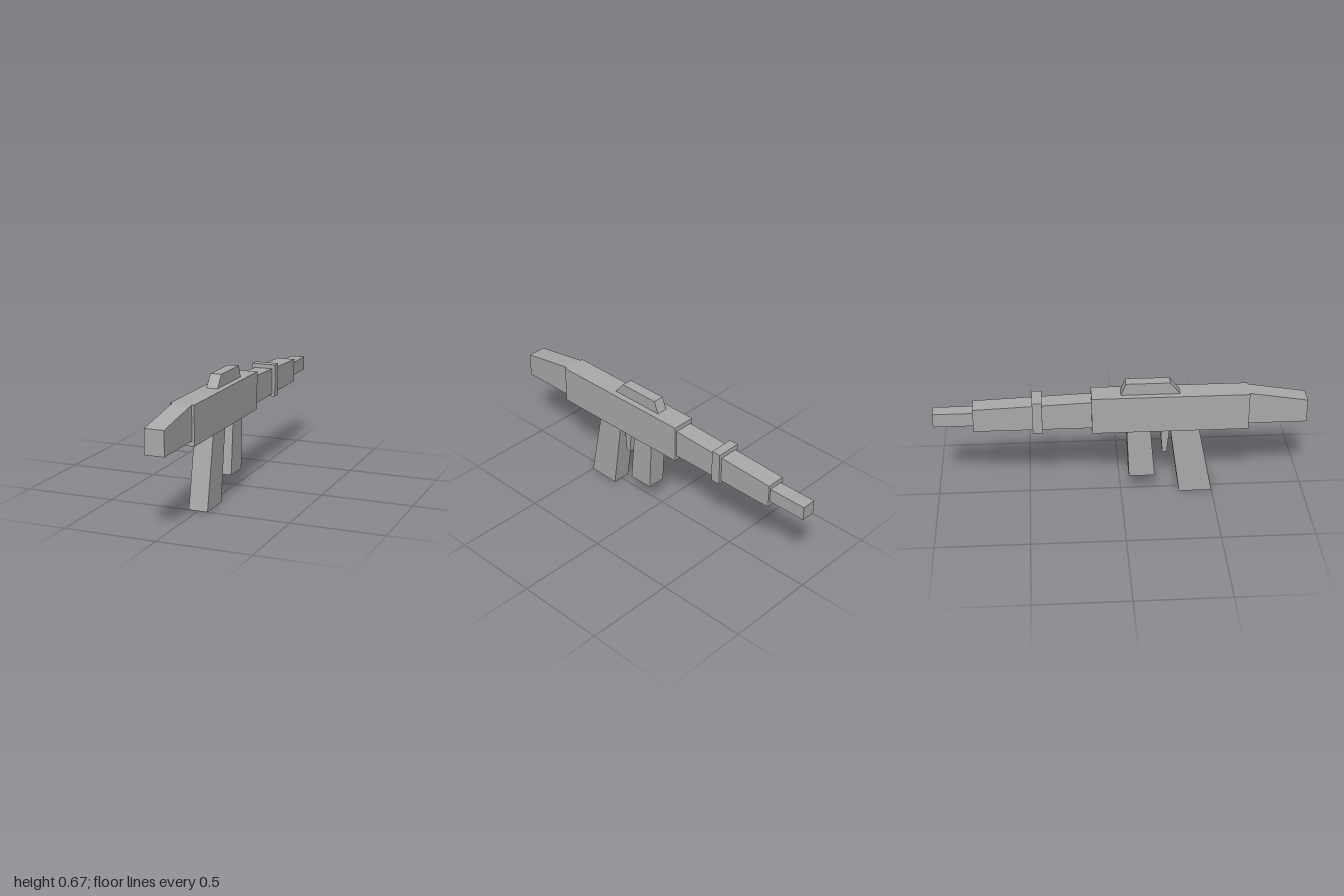
import * as THREE from 'three';

export function createModel() {
  const model = new THREE.Group();
  const grey = new THREE.MeshStandardMaterial({ color: 0xaaaaaa });
  grey.name = 'plain grey';

  // Side profile given as [z, y] points, extruded evenly across x
  function slab(name, width, points) {
    const shape = new THREE.Shape(points.map(([z, y]) => new THREE.Vector2(z, y)));
    const geometry = new THREE.ExtrudeGeometry(shape, { depth: width, bevelEnabled: false });
    geometry.translate(0, 0, -width / 2);
    geometry.rotateY(-Math.PI / 2);
    const mesh = new THREE.Mesh(geometry, grey);
    mesh.name = name;
    model.add(mesh);
  }

  // Plain block between two z and two y limits
  function block(name, width, z0, z1, y0, y1) {
    const mesh = new THREE.Mesh(new THREE.BoxGeometry(width, y1 - y0, z1 - z0), grey);
    mesh.position.set(0, (y0 + y1) / 2, (z0 + z1) / 2);
    mesh.name = name;
    model.add(mesh);
  }

  // Main body, from stock to muzzle
  slab('stock', 0.105, [[0.685, 0.424], [1, 0.424], [1, 0.555], [0.685, 0.607]]);
  block('receiver', 0.131, -0.157, 0.685, 0.397, 0.607);
  slab('handguard', 0.105, [[-0.787, 0.424], [-0.157, 0.424], [-0.157, 0.58], [-0.787, 0.555]]);
  block('handguardBand', 0.138, -0.472, -0.42, 0.41, 0.593);
  block('muzzle', 0.079, -1, -0.787, 0.452, 0.529);

  // Sight on top
  slab('sight', 0.062, [[0, 0.607], [0.315, 0.607], [0.262, 0.673], [0.026, 0.673]]);

  // Parts hanging below the receiver
  slab('grip', 0.105, [[0.32, 0], [0.5, 0], [0.42, 0.397], [0.265, 0.397]]);
  slab('trigger', 0.04, [[0.226, 0.24], [0.25, 0.24], [0.265, 0.397], [0.214, 0.397]]);
  slab('magazine', 0.105, [[0.043, 0.11], [0.184, 0.11], [0.158, 0.397], [0.03, 0.397]]);

  return model;
}
